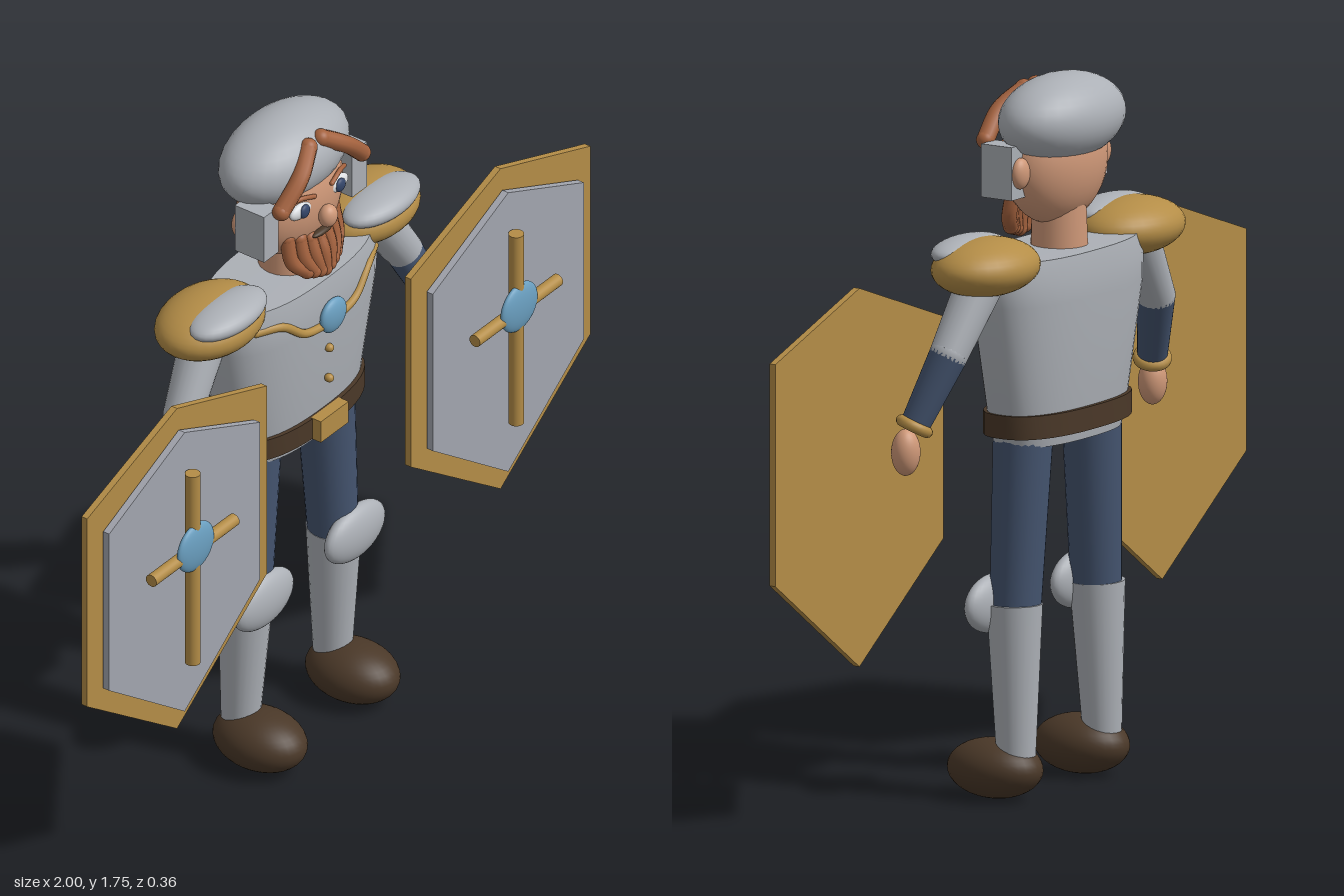
import * as THREE from 'three';
import { toCreasedNormals } from 'three/addons/utils/BufferGeometryUtils.js';

const mat = (name, color) => Object.assign(new THREE.MeshStandardMaterial({ color }), { name });
const V = (x, y, z) => new THREE.Vector3(x, y, z);

export function createModel() {
  const armour = mat('armour grey', 0xacb0b6);
  const plate = mat('shield grey', 0xa3a6af);
  const gold = mat('gold', 0xb48d47);
  const cloth = mat('navy cloth', 0x44546f);
  const leather = mat('dark leather', 0x4a3828);
  const skin = mat('skin', 0xcf9878);
  const hair = mat('auburn hair', 0xa4623e);
  const gem = mat('blue gem', 0x6a9fc0);
  const white = mat('eye white', 0xdcdfe2);
  const dark = mat('iris navy', 0x34466a);

  const model = new THREE.Group();
  model.name = 'shieldKnight';

  const add = (name, geo, material, x = 0, y = 0, z = 0) => {
    const m = new THREE.Mesh(geo, material);
    m.name = name;
    m.position.set(x, y, z);
    model.add(m);
    return m;
  };
  const ball = (name, material, x, y, z, rx, ry, rz) =>
    add(name, new THREE.SphereGeometry(1, 32, 20).scale(rx, ry, rz), material, x, y, z);
  // Tapered cylinder running from a to b
  const limb = (name, material, a, b, ra, rb) => {
    const m = add(name, new THREE.CylinderGeometry(rb, ra, a.distanceTo(b), 24), material);
    m.position.copy(a).add(b).multiplyScalar(0.5);
    m.quaternion.setFromUnitVectors(V(0, 1, 0), b.clone().sub(a).normalize());
    return m;
  };
  // Tube with rounded ends
  const strand = (name, material, pts, r) => {
    add(name, new THREE.TubeGeometry(new THREE.CatmullRomCurve3(pts), 20, r, 10), material);
    for (const p of [pts[0], pts[pts.length - 1]]) ball(name + 'End', material, p.x, p.y, p.z, r, r, r);
  };
  // Turned profile squashed into a broad, slightly squared section
  const body = (name, material, profile, depth) => {
    const geo = new THREE.LatheGeometry(profile.map(p => new THREE.Vector2(...p)), 48);
    const pos = geo.attributes.position;
    for (let i = 0; i < pos.count; i++) {
      const x = pos.getX(i), z = pos.getZ(i), r = Math.hypot(x, z);
      if (r < 1e-6) continue;
      const k = Math.pow(Math.pow(Math.abs(x / r), 2.5) + Math.pow(Math.abs(z / r), 2.5), -1 / 2.5);
      pos.setXYZ(i, x * k, pos.getY(i), z * k * depth);
    }
    return add(name, toCreasedNormals(geo, 0.6), material, 0, 0, -0.045);
  };

  // Torso, belt and chest ornaments
  body('breastplate', armour, [[0, 0.866], [0.215, 0.868], [0.237, 0.95], [0.287, 1.22], [0.288, 1.28], [0.27, 1.33], [0, 1.332]], 0.44);
  body('belt', leather, [[0, 0.893], [0.243, 0.893], [0.243, 0.95], [0, 0.95]], 0.475);
  add('buckle', new THREE.BoxGeometry(0.11, 0.06, 0.03), gold, 0, 0.922, 0.08);
  for (const y of [1.13, 1.043]) ball('button', gold, 0, y, 0.078, 0.011, 0.011, 0.012);
  ball('brooch', gem, 0, 1.23, 0.09, 0.048, 0.046, 0.018);

  // Head and helmet
  limb('neck', skin, V(0, 1.3, -0.05), V(0, 1.44, -0.05), 0.07, 0.065);
  ball('head', skin, 0, 1.535, -0.04, 0.165, 0.155, 0.102);
  ball('helmet', armour, 0, 1.643, -0.058, 0.205, 0.107, 0.123);
  ball('nose', skin, 0, 1.51, 0.075, 0.026, 0.03, 0.022);
  ball('mouth', leather, 0, 1.46, 0.057, 0.038, 0.008, 0.012);

  // Beard strands sweeping down from the jaw
  for (let i = -3; i <= 3; i++) {
    const t = i / 3, a = Math.abs(t), top = 1.44 + 0.03 * a;
    strand('beardStrand', hair, [
      V(t * 0.09, top, 0.045 - 0.025 * a * a),
      V(t * 0.088, 1.405, 0.06 - 0.025 * a * a),
      V(t * 0.055, 1.355 + 0.015 * a, 0.065 - 0.012 * a * a)], 0.019);
  }

  // Six-sided shield outline
  const hexagon = (w, top, shoulder, hip, bottom) => new THREE.Shape([
    [0, bottom], [w, hip], [w, shoulder], [0, top], [-w, shoulder], [-w, hip],
  ].map(p => new THREE.Vector2(...p)));
  const slab = (shape, depth) => new THREE.ExtrudeGeometry(shape, { depth, bevelEnabled: false });

  for (const s of [1, -1]) {
    // Face and helmet sides
    ball('eye', white, s * 0.073, 1.553, 0.047, 0.04, 0.021, 0.014);
    ball('iris', dark, s * 0.071, 1.553, 0.058, 0.018, 0.018, 0.009);
    strand('eyebrow', hair, [V(s * 0.115, 1.577, 0.036), V(s * 0.08, 1.588, 0.05), V(s * 0.035, 1.578, 0.06)], 0.006);
    ball('ear', skin, s * 0.172, 1.53, -0.055, 0.03, 0.038, 0.02);
    add('cheekGuard', new THREE.BoxGeometry(0.058, 0.13, 0.088), armour, s * 0.175, 1.533, -0.007);
    strand('forelock', hair, [V(s * 0.025, 1.705, 0.035), V(s * 0.09, 1.662, 0.06), V(s * 0.16, 1.598, 0.055)], 0.022);

    // Chest chain
    strand('chain', gold, [V(s * 0.235, 1.28, 0.035), V(s * 0.17, 1.275, 0.065),
      V(s * 0.1, 1.225, 0.08), V(s * 0.03, 1.212, 0.085)], 0.011);

    // Shoulder and arm
    ball('pauldron', gold, s * 0.308, 1.325, -0.047, 0.158, 0.07, 0.118);
    ball('pauldronCap', armour, s * 0.305, 1.362, 0.003, 0.13, 0.036, 0.068);
    const elbow = V(s * 0.44, 1.13, -0.03), wrist = V(s * 0.505, 0.96, 0.025);
    limb('upperArm', armour, V(s * 0.31, 1.32, -0.05), elbow, 0.06, 0.047);
    ball('elbow', armour, elbow.x, elbow.y, elbow.z, 0.047, 0.047, 0.047);
    limb('forearm', cloth, elbow, wrist, 0.047, 0.036);
    const cuff = add('wristCuff', new THREE.TorusGeometry(0.034, 0.014, 10, 24), gold, wrist.x, wrist.y, wrist.z);
    cuff.quaternion.setFromUnitVectors(V(0, 0, 1), wrist.clone().sub(elbow).normalize());
    ball('hand', skin, s * 0.524, 0.898, 0.037, 0.038, 0.057, 0.034);

    // Leg
    limb('thigh', cloth, V(s * 0.145, 0.9, -0.045), V(s * 0.172, 0.46, -0.04), 0.073, 0.062);
    limb('greave', armour, V(s * 0.175, 0.48, -0.04), V(s * 0.183, 0.1, -0.05), 0.068, 0.047);
    ball('kneeGuard', armour, s * 0.182, 0.477, 0.017, 0.112, 0.072, 0.036);
    ball('boot', leather, s * 0.184, 0.075, 0.01, 0.093, 0.073, 0.125);

    // Shield with cross and boss
    const x = s * 0.643;
    add('shieldRim', slab(hexagon(0.357, 1.312, 1.185, 0.643, 0.388), 0.017), gold, x, 0, 0.09);
    add('shieldFace', slab(hexagon(0.3, 1.252, 1.12, 0.668, 0.447), 0.018), plate, x, 0, 0.112);
    limb('crossUpright', gold, V(x, 0.6, 0.154), V(x, 1.144, 0.154), 0.019, 0.019);
    limb('crossBar', gold, V(x - 0.165, 0.922, 0.154), V(x + 0.165, 0.922, 0.154), 0.016, 0.016);
    ball('shieldBoss', gem, x, 0.936, 0.162, 0.07, 0.065, 0.018);
  }
  return model;
}
